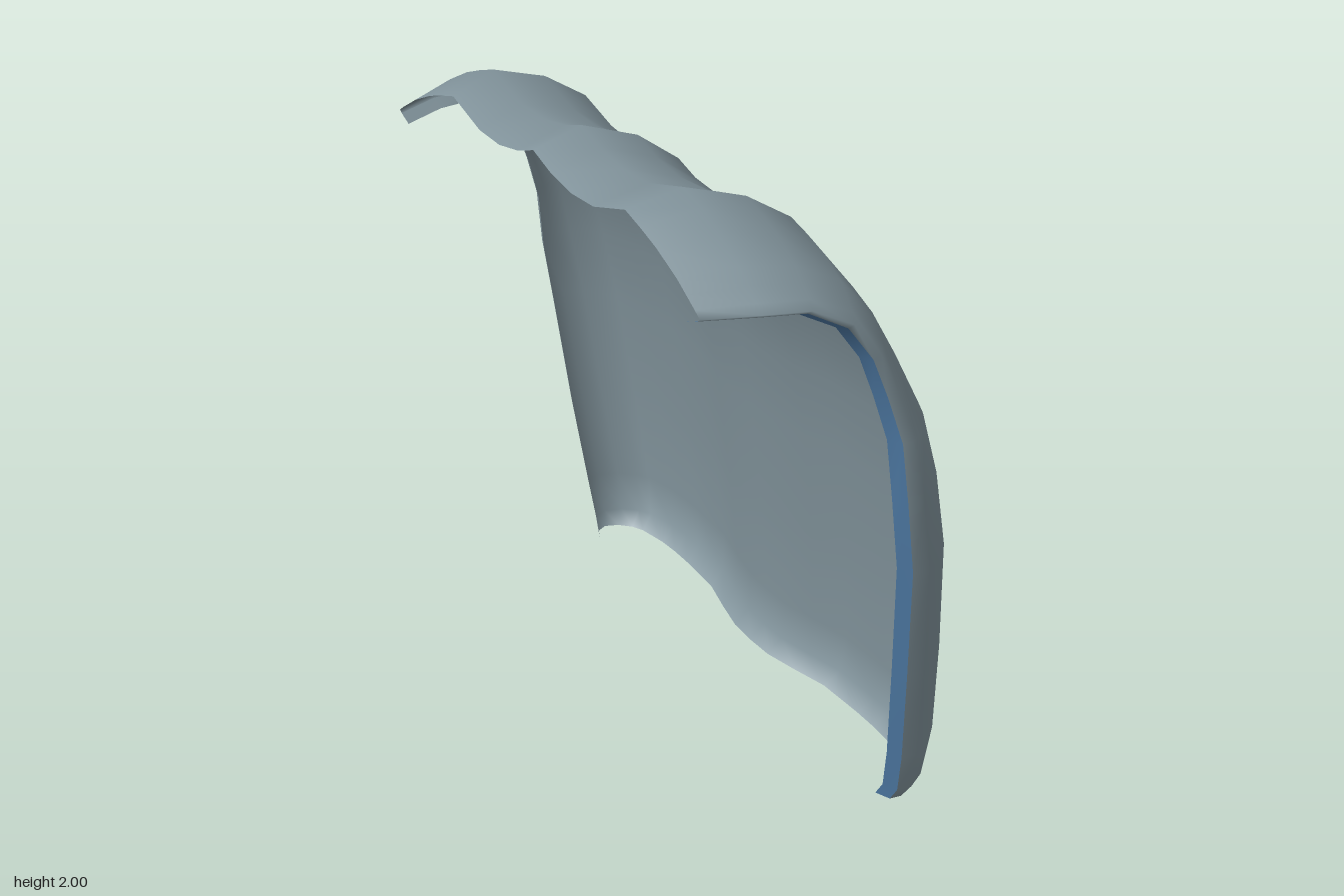
import * as THREE from 'three';

// Lengthwise stations, bottom to lip: [crest depth, crest y, edge depth, edge y, half width, top blend]
const STATIONS = [
  [0.4, 0.015, 0.245, 0.0, 0.875, 0],
  [0.455, 0.06, 0.25, 0.05, 0.9, 0],
  [0.465, 0.2, 0.235, 0.2, 0.925, 0],
  [0.43, 0.55, 0.195, 0.55, 0.965, 0],
  [0.38, 0.94, 0.155, 0.94, 1.0, 0],
  [0.33, 1.2, 0.12, 1.17, 1.0, 0.05],
  [0.275, 1.4, 0.098, 1.36, 0.985, 0.15],
  [0.2, 1.57, 0.055, 1.5, 0.965, 0.3],
  [0.13, 1.72, 0.01, 1.62, 0.95, 0.5],
  [0.04, 1.85, -0.06, 1.72, 0.93, 0.75],
  [-0.1, 1.94, -0.18, 1.79, 0.92, 0.9],
  [-0.28, 2.0, -0.3, 1.8, 0.89, 1],
  [-0.43, 1.96, -0.44, 1.8, 0.825, 1],
];

// Half cross-section, middle to edge:
// [width fraction, edge weight low, edge weight high, wave low, wave high]
const SECTION = [
  [0, 0, 0, -0.07, -0.003],
  [0.11, 0, 0, -0.066, -0.035],
  [0.24, 0, 0, -0.04, -0.055],
  [0.38, 0, 0, -0.008, -0.05],
  [0.57, 0, 0, 0, 0],
  [0.66, 0, 0.13, 0, 0],
  [0.75, 0.03, 0.28, 0, 0],
  [0.87, 0.15, 0.55, 0, 0],
  [0.92, 0.27, 0.7, 0, 0],
  [0.97, 0.5, 0.85, 0, 0],
  [1.0, 0.78, 0.95, 0, 0],
  [0.987, 1, 1, 0, 0],
];

const lerp = THREE.MathUtils.lerp;

// Across (s) and depth (t) run diagonally to the x and z axes
const place = (s, t, y) => [(s + t) * Math.SQRT1_2, y, (s - t) * Math.SQRT1_2];

function shellPoint(station, column, side) {
  const [ct, cy, et, ey, half, k] = station;
  const [f, wLow, wHigh, low, high] = column;
  const w = lerp(wLow, wHigh, k);
  const wave = lerp(low, high, k);
  const angle = k * Math.PI / 2;
  const t = lerp(ct, et, w) + wave * Math.cos(angle);
  const y = lerp(cy, ey, w) + wave * Math.sin(angle);
  return [side * f * half, t, y];
}

// Skin a grid of points, rows running upward
function skin(rows) {
  const n = rows[0].length;
  const index = [];
  for (let i = 0; i < rows.length - 1; i++) {
    for (let j = 0; j < n - 1; j++) {
      const a = i * n + j, b = a + n;
      index.push(a, b, a + 1, a + 1, b, b + 1);
    }
  }
  const g = new THREE.BufferGeometry();
  g.setAttribute('position', new THREE.Float32BufferAttribute(rows.flat(2), 3));
  g.setIndex(index);
  g.computeVertexNormals();
  return g;
}

export function createModel() {
  const group = new THREE.Group();
  group.name = 'wavyShell';
  const grey = new THREE.MeshStandardMaterial({ color: 0x82949c, side: THREE.DoubleSide });
  grey.name = 'slate grey';
  const blue = new THREE.MeshStandardMaterial({ color: 0x4f7ba6, side: THREE.DoubleSide });
  blue.name = 'steel blue';

  const add = (name, geometry, material) => {
    const mesh = new THREE.Mesh(geometry, material);
    mesh.name = name;
    group.add(mesh);
  };

  // Ribbed panel that bends over into a scalloped lip
  const columns = [
    ...SECTION.slice(1).reverse().map((c) => [c, -1]),
    ...SECTION.map((c) => [c, 1]),
  ];
  add('panel', skin(STATIONS.map((st) =>
    columns.map(([c, side]) => place(...shellPoint(st, c, side))))), grey);

  // Narrow turned-in rim along each side, blue on the left only
  const edge = SECTION[SECTION.length - 1];
  for (const side of [1, -1]) {
    const rows = STATIONS.map((st) => {
      const [s, t, y] = shellPoint(st, edge, side);
      const k = st[5];
      const strip = [
        place(s, t, y),
        place(s - side * 0.045, t - 0.02 * (1 - k), y - 0.02 * k),
      ];
      return side > 0 ? strip : strip.reverse();
    });
    add(side > 0 ? 'leftRim' : 'rightRim', skin(rows), side > 0 ? blue : grey);
  }
  return group;
}
